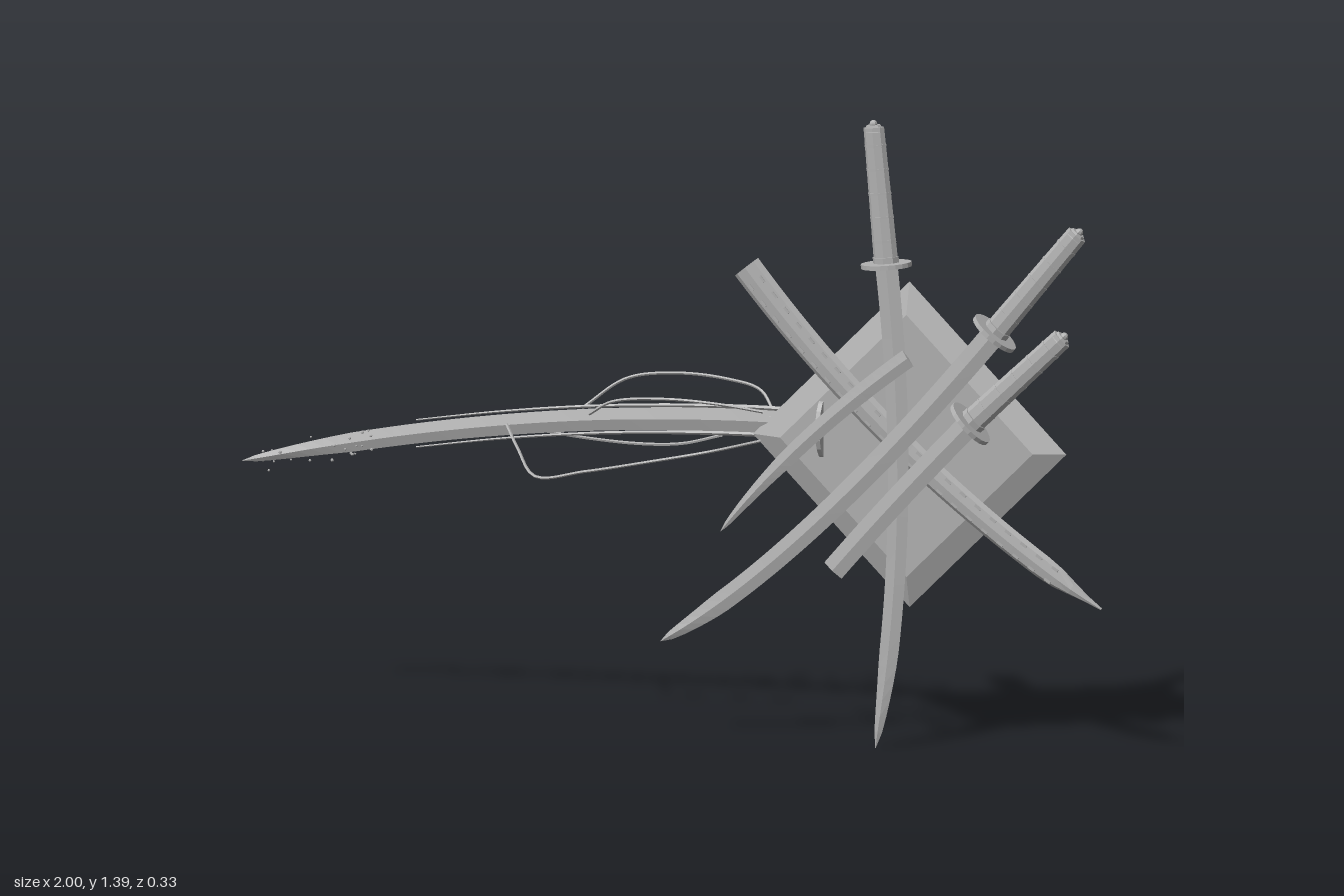
import * as THREE from 'three';

const V = (x, y, z = 0) => new THREE.Vector3(x, y, z);

export function createModel() {
  const root = new THREE.Group();
  root.name = 'swordDisplay';
  const grey = new THREE.MeshStandardMaterial({ color: 0xb0b0b0 });
  grey.name = 'steel grey';
  grey.flatShading = true;
  grey.side = THREE.DoubleSide;

  const add = (parent, geometry, name, x = 0, y = 0, z = 0) => {
    const mesh = new THREE.Mesh(geometry, grey);
    mesh.name = name;
    mesh.position.set(x, y, z);
    parent.add(mesh);
    return mesh;
  };

  // Flattened bar swept along a curve lying in the xy plane
  const sweep = (curve, width, thick, sides = 4, steps = 28) => {
    const pos = [], idx = [];
    for (let i = 0; i <= steps; i++) {
      const t = i / steps, p = curve.getPoint(t), d = curve.getTangent(t);
      const w = width(t), h = thick * Math.min(1, w / 0.012);
      for (let j = 0; j < sides; j++) {
        const a = (j / sides) * Math.PI * 2, c = Math.cos(a) * w;
        pos.push(p.x - d.y * c, p.y + d.x * c, p.z + Math.sin(a) * h);
      }
    }
    for (let i = 0; i < steps; i++) for (let j = 0; j < sides; j++) {
      const a = i * sides + j, b = i * sides + (j + 1) % sides;
      idx.push(a, b, b + sides, a, b + sides, a + sides);
    }
    const end = steps * sides;
    for (let j = 1; j < sides - 1; j++) idx.push(0, j + 1, j, end, end + j, end + j + 1);
    const g = new THREE.BufferGeometry();
    g.setAttribute('position', new THREE.Float32BufferAttribute(pos, 3));
    g.setIndex(idx);
    g.computeVertexNormals();
    return g;
  };
  const bend = (a, b, c, z) => new THREE.QuadraticBezierCurve3(V(a[0], a[1], z), V(b[0], b[1], z), V(c[0], c[1], z));
  const pointed = (w, from = 0.8) => t => w * (1 - 0.2 * t) * (t < from ? 1 : Math.sqrt(Math.max(0.0005, (1 - t) / (1 - from))));

  // Guard, wrapped grip and pommel, running from the guard towards the pommel
  const hilt = (name, from, to, z, s = 1) => {
    const g = new THREE.Group();
    g.name = name;
    const dx = to[0] - from[0], dy = to[1] - from[1], L = Math.hypot(dx, dy);
    g.position.set(from[0], from[1], z);
    g.rotation.z = Math.atan2(-dx, dy);
    const disc = (rx, rz, h, y, part, n = 8, taper = 1) => {
      const m = add(g, new THREE.CylinderGeometry(taper, 1, h, n), part, 0, y, 0);
      m.scale.set(rx, 1, rz);
    };
    disc(0.057 * s, 0.043 * s, 0.01, 0, 'guard', 20);
    disc(0.03 * s, 0.02 * s, 0.016, 0.01, 'collar');
    disc(0.028 * s, 0.0145 * s, L - 0.025, L / 2, 'grip', 8, 0.85);
    for (let i = 1; i < 6; i++) disc(0.0285 * s - i * 0.0006, 0.0155 * s - i * 0.0003, 0.005, (i / 6) * L, 'gripWrap');
    disc(0.023 * s, 0.013 * s, 0.016, L - 0.015, 'pommel', 8, 0.7);
    add(g, new THREE.SphereGeometry(0.009 * s, 8, 6), 'pommelKnob', 0, L - 0.005, 0);
    root.add(g);
  };

  // Diamond backing plate: open shell with sloping edges
  const plate = new THREE.Group();
  plate.name = 'backingPlate';
  plate.position.set(0.535, 0.66, 0);
  const rim = new THREE.CylinderGeometry(0.29, 0.36, 0.022, 4, 1, true);
  rim.rotateX(Math.PI / 2);
  add(plate, rim, 'plateBevel', 0, 0, -0.011);
  add(plate, new THREE.CircleGeometry(0.29, 4), 'plateFace');
  root.add(plate);

  // Upright sword
  hilt('uprightHilt', [0.51, 1.07], [0.48, 1.385], 0.06);
  add(root, sweep(bend([0.51, 1.07], [0.575, 0.5], [0.485, 0], 0.06), pointed(0.026), 0.006), 'uprightBlade');

  // Upper slanted sword
  hilt('upperHilt', [0.767, 0.94], [0.965, 1.18], 0.085);
  add(root, sweep(bend([0.767, 0.94], [0.317, 0.4], [0, 0.21], 0.085), pointed(0.027), 0.006), 'upperBlade');

  // Lower slanted sword with its blade snapped off, and the snapped tip
  hilt('brokenHilt', [0.725, 0.745], [0.945, 0.955], 0.125);
  add(root, sweep(bend([0.725, 0.745], [0.56, 0.575], [0.41, 0.4], 0.125), () => 0.026, 0.006), 'brokenBlade');
  add(root, sweep(bend([0.565, 0.87], [0.31, 0.68], [0.135, 0.46], 0.076), pointed(0.021, 0.6), 0.005), 'snappedTip');

  // Curved scabbard with small studs along its sides
  const sheathCurve = bend([0.18, 1.04], [0.52, 0.62], [0.995, 0.335], 0.034);
  add(root, sweep(sheathCurve, t => 0.034 * (1 - 0.25 * t) * (t < 0.88 ? 1 : Math.max(0.1, (1 - t) / 0.12)), 0.012, 8), 'scabbard');
  for (let i = 0; i < 22; i++) {
    const t = 0.04 + 0.04 * i, p = sheathCurve.getPoint(t), d = sheathCurve.getTangent(t);
    for (const side of [-1, 1]) {
      const k = side * 0.016;
      const stud = add(root, new THREE.BoxGeometry(0.016, 0.005, 0.025), 'scabbardStud', p.x - d.y * k, p.y + d.x * k, p.z);
      stud.rotation.z = Math.atan2(d.y, d.x);
    }
  }

  // Great sword behind the plate
  const zb = -0.026;
  hilt('greatHilt', [0.34, 0.685], [0.74, 0.687], zb, 1.25);
  const spine = [[0.34, 0.685], [0.2, 0.688], [0, 0.681], [-0.2, 0.666], [-0.4, 0.642], [-0.6, 0.61], [-0.8, 0.57], [-1, 0.524]];
  const offsetSpine = (k, first, last) => new THREE.CatmullRomCurve3(spine.slice(first, last).map(([x, y]) => V(x, y + k, zb)));
  add(root, sweep(offsetSpine(0, 0, 8), t => 0.028 * (1 - 0.3 * t) * (t < 0.82 ? 1 : Math.sqrt(Math.max(0.0005, (1 - t) / 0.18))), 0.007, 4, 44), 'greatBlade');
  for (const k of [-0.03, -0.012, 0.012, 0.03]) {
    add(root, sweep(offsetSpine(k, 0, 6), t => 0.006 * (1 - 0.7 * t), 0.009), 'bladeRib');
  }

  // Wisps streaming around the great blade
  const wisps = [
    [[-0.4, 0.65, -0.03], [-0.25, 0.65, -0.07], [-0.21, 0.645, -0.14], [-0.12, 0.64, -0.162], [0.03, 0.65, -0.14], [0.1, 0.67, -0.08], [0.2, 0.69, -0.035]],
    [[-0.39, 0.645, -0.02], [-0.35, 0.6, 0.02], [-0.3, 0.55, 0.055], [-0.18, 0.57, 0.065], [-0.02, 0.605, 0.075], [0.1, 0.63, 0.06], [0.2, 0.65, 0]],
    [[-0.22, 0.69, -0.03], [-0.13, 0.755, -0.065], [-0.02, 0.77, -0.085], [0.1, 0.765, -0.08], [0.18, 0.75, -0.06], [0.22, 0.71, -0.03]],
    [[-0.36, 0.64, -0.03], [-0.24, 0.615, -0.08], [-0.12, 0.605, -0.1], [0, 0.62, -0.06], [0.1, 0.65, -0.03]],
    [[-0.2, 0.68, -0.02], [-0.14, 0.715, 0], [-0.02, 0.73, 0.01], [0.1, 0.725, 0], [0.2, 0.71, -0.02]],
  ];
  for (const points of wisps) {
    const curve = new THREE.CatmullRomCurve3(points.map(p => V(...p)));
    add(root, new THREE.TubeGeometry(curve, 40, 0.0035, 5), 'wisp');
  }

  // Small flecks scattered around the great blade's tip
  let seed = 7;
  const rand = () => (seed = (seed * 16807) % 2147483647) / 2147483647;
  for (let i = 0; i < 34; i++) {
    const x = -0.96 + 0.28 * rand();
    add(root, new THREE.IcosahedronGeometry(0.002 + 0.002 * rand(), 0), 'fleck',
      x, 0.57 + 0.21 * (x + 0.8) + (rand() - 0.5) * 0.06, zb + (rand() - 0.5) * 0.08);
  }
  return root;
}
